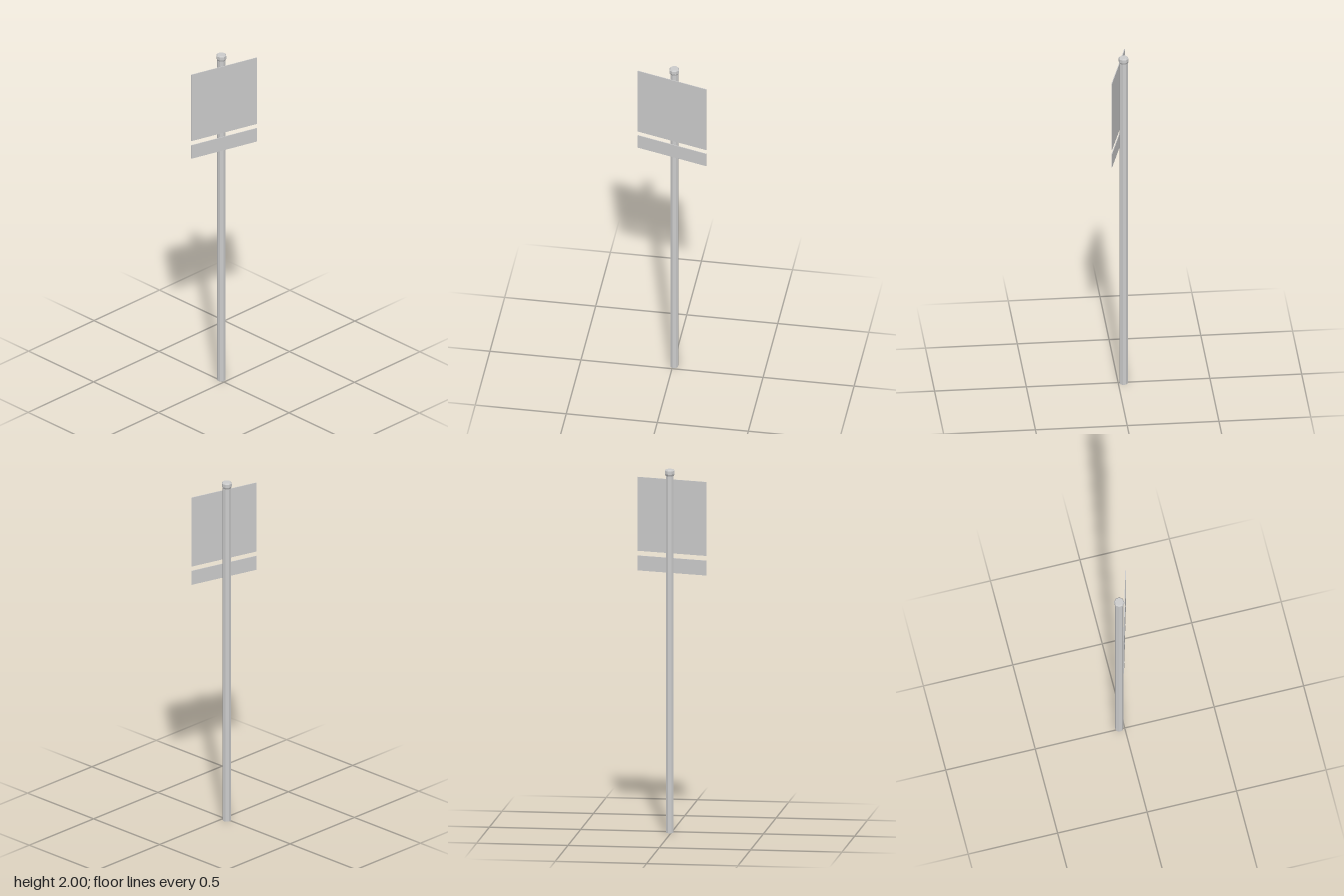
import * as THREE from 'three';

export function createModel() {
  const model = new THREE.Group();
  model.name = 'signpost';
  const material = new THREE.MeshStandardMaterial({ color: 0xcccccc, flatShading: true });

  // The whole sign is turned slightly about the vertical axis
  const sign = new THREE.Group();
  sign.name = 'turnedSign';
  sign.rotation.y = THREE.MathUtils.degToRad(-15.5);
  model.add(sign);

  const add = (name, geometry, y, z) => {
    const mesh = new THREE.Mesh(geometry, material);
    mesh.name = name;
    mesh.position.set(0, y, z);
    sign.add(mesh);
  };
  const lathe = (points) =>
    new THREE.LatheGeometry(points.map(([r, y]) => new THREE.Vector2(r, y)), 8);

  // Octagonal post and its flared, bevelled cap
  const postZ = -0.03;
  add('post', lathe([[0, 0], [0.023, 0], [0.023, 1.965]]), 0, postZ);
  add('postCap', lathe([[0.023, 1.965], [0.028, 1.975], [0.028, 1.993], [0.022, 2], [0, 2]]), 0, postZ);

  // Thin boards mounted on the front of the post
  const board = (name, bottom, top) =>
    add(name, new THREE.BoxGeometry(0.408, top - bottom, 0.004), (bottom + top) / 2, 0);
  board('mainBoard', 1.533, 1.94);
  board('lowerBoard', 1.425, 1.507);

  return model;
}
